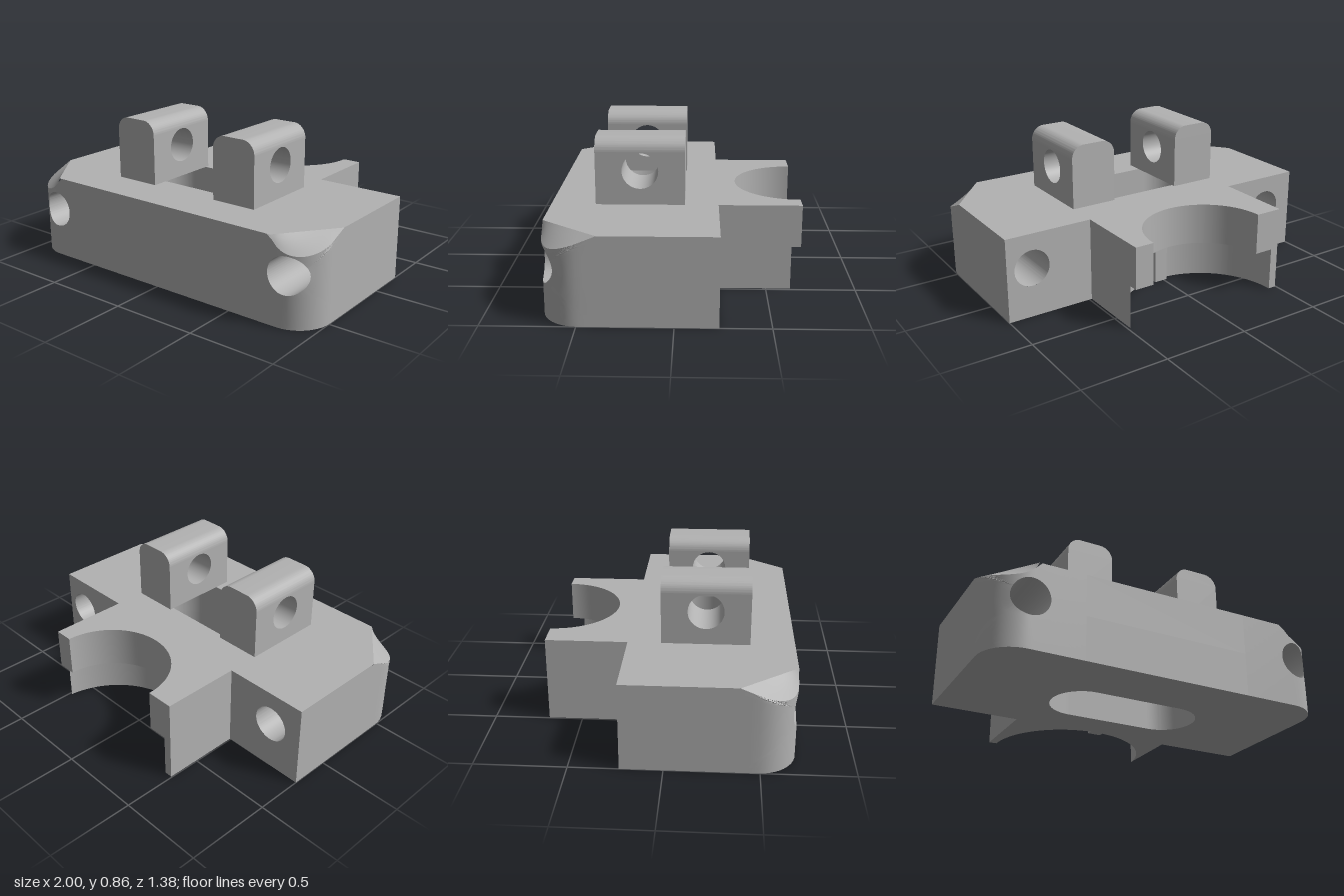
import * as THREE from 'three';
import { toCreasedNormals } from 'three/addons/utils/BufferGeometryUtils.js';

const grey = new THREE.MeshStandardMaterial({ color: 0xb2b2b2 });
grey.name = 'plain grey';

const H = 0.49, FRONT = 0.69, REAR = -0.23, R = 0.2, ARC = R * Math.PI / 2;
const BORE_Y = 0.29, BORE_R = 0.105;
const lerp = THREE.MathUtils.lerp;

function add(parent, name, geometry) {
  const mesh = new THREE.Mesh(toCreasedNormals(geometry, 0.5), grey);
  mesh.name = name;
  parent.add(mesh);
  return mesh;
}

// Surface patch from a rule p(u, v) -> [x, y, z]; side = -1 mirrors it in x
function patch(p, nu, nv, side) {
  const pos = [], index = [];
  for (let j = 0; j <= nv; j++) {
    for (let i = 0; i <= nu; i++) {
      const [x, y, z] = p(i / nu, j / nv);
      pos.push(side * x, y, z);
      if (i === nu || j === nv) continue;
      const a = j * (nu + 1) + i, b = a + 1, d = a + nu + 1, c = d + 1;
      if (side > 0) index.push(a, b, c, a, c, d);
      else index.push(a, c, b, a, d, c);
    }
  }
  const g = new THREE.BufferGeometry();
  g.setAttribute('position', new THREE.Float32BufferAttribute(pos, 3));
  g.setIndex(index);
  return g;
}

// Side wing with a rounded front corner, a bore along z and a scooped top corner
function makeWing(side, x0, boreX) {
  const wing = new THREE.Group();
  wing.name = side > 0 ? 'leftWing' : 'rightWing';
  const flat = 1 - R - x0;                    // straight front length before the corner
  const sEnd = flat + ARC + (FRONT - R - REAR);
  const sWall = flat + ARC + 0.13;            // where the front patch hands over to the side
  const sB = 0.76 - x0, sA = flat + ARC + 0.105;

  // Plan outline by arc length: front edge, corner, side
  const contour = s => {
    if (s < flat) return [x0 + s, FRONT];
    if (s < flat + ARC) {
      const a = (s - flat) / R;
      return [1 - R + R * Math.sin(a), FRONT - R + R * Math.cos(a)];
    }
    return [1, FRONT - R - (s - flat - ARC)];
  };
  const sOfX = x => x < 1 - R ? x - x0 : flat + R * Math.asin((x - 1 + R) / R);
  const topY = s => {
    const t = THREE.MathUtils.clamp((s - sB) / (sA - sB), 0, 1);
    return H - 0.092 * Math.sin(Math.PI * Math.pow(t, 0.65));
  };

  // Point on a rectangle's edge, counter-clockwise, with a shaped top
  const rim = (u, w, top) => {
    const e = Math.min(3, Math.floor(u * 4)), f = u * 4 - e;
    if (e === 0) return [f * w, 0];
    if (e === 1) return [w, f * top(w)];
    if (e === 2) return [(1 - f) * w, top((1 - f) * w)];
    return [0, (1 - f) * top(0)];
  };
  const boreDir = (u, w, cx, top) => {
    const [a, b] = rim(u, w, top);
    return Math.atan2(b - BORE_Y, a - cx);
  };
  const borePoint = a => [boreX + BORE_R * Math.cos(a), BORE_Y + BORE_R * Math.sin(a)];
  const N = 96, sBore = sOfX(boreX);

  add(wing, 'wingFront', patch((u, v) => {
    const [s, y] = rim(u, sWall, topY);
    const [bx, by] = borePoint(boreDir(u, sWall, sBore, topY));
    const [x, z] = contour(lerp(s, sOfX(bx), v));
    return [x, lerp(y, by, v), z];
  }, N, 8, side));

  add(wing, 'wingBore', patch((u, v) => {
    const [x, y] = borePoint(boreDir(u, sWall, sBore, topY));
    return [x, y, lerp(contour(sOfX(x))[1], REAR, v)];
  }, N, 1, side));

  const full = () => H, w = 1 - x0;
  add(wing, 'wingRear', patch((u, v) => {
    const [a, y] = rim(u, w, full);
    const [bx, by] = borePoint(boreDir(u, w, boreX - x0, full));
    return [lerp(bx, a + x0, v), lerp(by, y, v), REAR];
  }, N, 1, side));

  add(wing, 'wingSide', patch((u, v) => {
    const [x, z] = contour(lerp(sWall, sEnd, u));
    return [x, v * H, z];
  }, 1, 1, side));

  add(wing, 'wingBottom', patch((u, v) => {
    const [x, z] = contour(u < 0.8 ? flat + ARC * u / 0.8 : lerp(flat + ARC, sEnd, (u - 0.8) * 5));
    return [lerp(x0, x, v), 0, z];
  }, 20, 1, side));

  const A = contour(sA), B = contour(sB);
  const edge = [B, A, [1, REAR]];
  add(wing, 'wingTop', patch((u, v) => {
    const [x, z] = edge[Math.round(u * 2)];
    return [lerp(x, x0, v), H, z];
  }, 2, 1, side));

  add(wing, 'cornerScoop', patch((u, v) => {
    const s = lerp(sB, sA, u), [x, z] = contour(s);
    return [lerp(x, lerp(B[0], A[0], u), v), lerp(topY(s), H, v), lerp(z, lerp(B[1], A[1], u), v)];
  }, 32, 4, side));
  return wing;
}

// Centre body layer: plan with a round rear cut-out and a long slot
function makeLayer(radius, y0, y1) {
  const cx = 0.02, back = -0.69, xl = -0.495, xr = 0.485;
  const start = radius > xr - cx ? Math.acos((xr - cx) / radius) : 0;
  const s = new THREE.Shape();
  s.moveTo(xl, FRONT);
  s.lineTo(xr, FRONT);
  if (start === 0) s.lineTo(xr, back);
  s.absarc(cx, back, radius, start, Math.PI, false);
  s.lineTo(xl, back);
  s.closePath();
  const slot = new THREE.Path(), r = 0.185, h = 0.26, z = 0.165;
  slot.absarc(h, z, r, -Math.PI / 2, Math.PI / 2, false);
  slot.absarc(-h, z, r, Math.PI / 2, Math.PI * 1.5, false);
  slot.closePath();
  s.holes.push(slot);
  const g = new THREE.ExtrudeGeometry(s, { depth: y1 - y0, bevelEnabled: false, curveSegments: 32 });
  return g.rotateX(Math.PI / 2).translate(0, y1, 0);
}

// Upright lug: drilled block with a rounded cap
function makeLug(x1, x2) {
  const lug = new THREE.Group();
  lug.name = x1 > 0 ? 'leftLug' : 'rightLug';
  const z1 = -0.045, z2 = 0.445, split = 0.785, top = 0.862, r = top - split;
  const s = new THREE.Shape();
  s.moveTo(z1, H);
  s.lineTo(z2, H);
  s.lineTo(z2, split);
  s.lineTo(z1, split);
  s.closePath();
  const hole = new THREE.Path();
  hole.absarc(0.2, 0.68, 0.1, 0, Math.PI * 2, true);
  s.holes.push(hole);
  add(lug, 'lugBlock', new THREE.ExtrudeGeometry(s, { depth: x2 - x1, bevelEnabled: false, curveSegments: 32 })
    .rotateY(-Math.PI / 2).translate(x2, 0, 0));
  const c = new THREE.Shape();
  c.moveTo(x1, split);
  c.lineTo(x2, split);
  c.absarc(x2 - r, split, r, 0, Math.PI / 2, false);
  c.absarc(x1 + r, split, r, Math.PI / 2, Math.PI, false);
  add(lug, 'lugCap', new THREE.ExtrudeGeometry(c, { depth: z2 - z1, bevelEnabled: false, curveSegments: 12 })
    .translate(0, 0, z1));
  return lug;
}

export function createModel() {
  const model = new THREE.Group();
  model.name = 'mountingBracket';

  add(model, 'bodyLower', makeLayer(0.468, 0, 0.25));
  add(model, 'bodyUpper', makeLayer(0.355, 0.25, H));

  // Small locating rib inside the lower cut-out
  add(model, 'locatingRib', new THREE.BoxGeometry(0.08, 0.25, 0.04).translate(0.02, 0.125, -0.235));

  model.add(makeWing(1, 0.485, 0.85), makeWing(-1, 0.495, 0.795));
  model.add(makeLug(0.21, 0.485), makeLug(-0.495, -0.22));
  return model;
}
